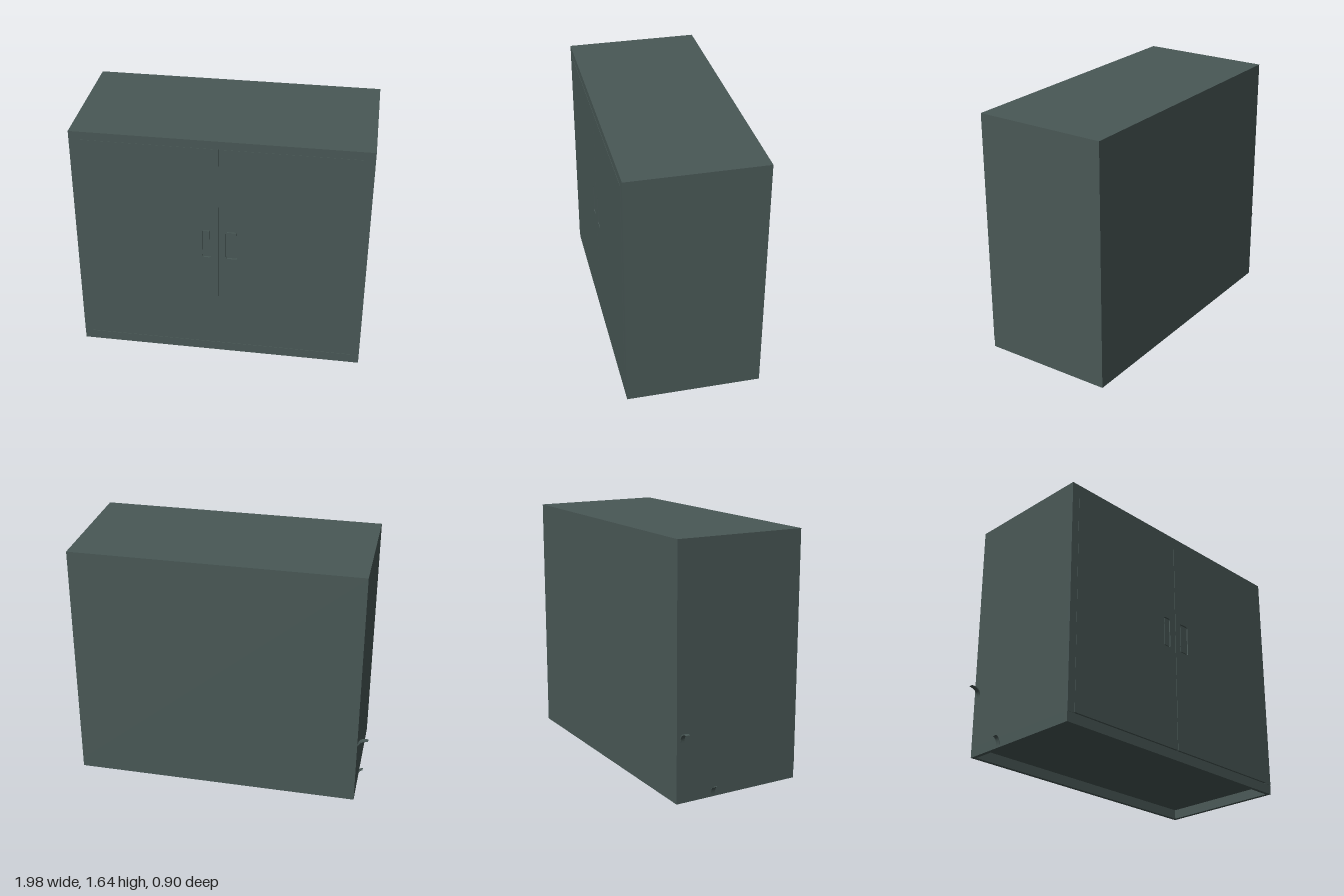
import * as THREE from 'three';

export function createModel() {
  const cabinet = new THREE.Group();
  cabinet.name = 'cabinet';
  const steel = new THREE.MeshStandardMaterial({ color: 0x495856 });
  steel.name = 'dark grey green steel';

  const add = (name, geometry) => {
    const mesh = new THREE.Mesh(geometry, steel);
    mesh.name = name;
    cabinet.add(mesh);
    return mesh;
  };
  // Box given by its lower and upper limits on each axis
  const box = (name, x0, x1, y0, y1, z0, z1) =>
    add(name, new THREE.BoxGeometry(x1 - x0, y1 - y0, z1 - z0))
      .position.set((x0 + x1) / 2, (y0 + y1) / 2, (z0 + z1) / 2);

  const L = -0.93, R = 0.98, BACK = -0.449, FRONT = 0.443;
  const FLOOR = 0.08, BASE = 0.015, TOP = 1.655, MID = 0.02;

  // Body above the raised floor
  box('body', L, R, FLOOR, TOP, BACK, FRONT - 0.014);

  // Skirt around the hollow underside
  const t = 0.025;
  box('frontSkirt', L, R, BASE, FLOOR, FRONT - 0.004 - t, FRONT - 0.004);
  box('backSkirt', L, R, BASE, FLOOR, BACK, BACK + t);
  for (const [name, x] of [['rightSkirt', L], ['leftSkirt', R - t]]) {
    box(name, x, x + t, BASE, FLOOR, BACK + t, FRONT - 0.004 - t);
  }

  // Front frame: side stiles and top rail
  const stile = 0.055, rail = 1.6;
  box('topRail', L, R, rail, TOP, FRONT - 0.014, FRONT - 0.002);
  box('rightStile', L, L + stile, FLOOR, rail, FRONT - 0.014, FRONT - 0.002);
  box('leftStile', R - stile, R, FLOOR, rail, FRONT - 0.014, FRONT - 0.002);

  // Outline of an upright rectangle with rounded corners
  const slot = (x0, x1, y0, y1, r) => {
    const p = new THREE.Path();
    p.moveTo(x0 + r, y0);
    p.lineTo(x1 - r, y0);
    p.quadraticCurveTo(x1, y0, x1, y0 + r);
    p.lineTo(x1, y1 - r);
    p.quadraticCurveTo(x1, y1, x1 - r, y1);
    p.lineTo(x0 + r, y1);
    p.quadraticCurveTo(x0, y1, x0, y1 - r);
    p.lineTo(x0, y0 + r);
    p.quadraticCurveTo(x0, y0, x0 + r, y0);
    return p;
  };

  // Two doors, each with a shallow recessed pull
  const door = (name, x0, x1, h0, h1) => {
    const shape = new THREE.Shape([
      new THREE.Vector2(x0, FLOOR + 0.006), new THREE.Vector2(x1, FLOOR + 0.006),
      new THREE.Vector2(x1, rail), new THREE.Vector2(x0, rail),
    ]);
    shape.holes.push(slot(h0, h1, 0.79, 1.0, 0.015));
    const geometry = new THREE.ExtrudeGeometry(shape, { depth: 0.014, bevelEnabled: false, curveSegments: 4 });
    add(name, geometry).position.z = FRONT - 0.014;
    // Grip plate inside the recess
    box(name + 'Grip', h0 + 0.007, h1 - 0.007, 0.797, 0.993, FRONT - 0.014, FRONT - 0.002);
  };
  door('rightDoor', L + stile, MID - 0.002, -0.09, -0.033);
  door('leftDoor', MID + 0.002, R - stile, 0.065, 0.142);

  // Small bent metal tabs on the right side
  const tab = (name, reach, y, z) => {
    const shape = new THREE.Shape();
    shape.moveTo(L, y - 0.06);
    shape.quadraticCurveTo(L, y, L - reach, y + 0.006);
    shape.quadraticCurveTo(L - 0.01, y + 0.012, L, y - 0.03);
    add(name, new THREE.ExtrudeGeometry(shape, { depth: 0.03, bevelEnabled: false })).position.z = z;
  };
  tab('rearTab', 0.067, 0.47, -0.425);
  tab('middleTab', 0.03, 0.08, -0.2);

  // The cabinet stands very slightly turned
  cabinet.rotation.y = 0.006;
  const model = new THREE.Group();
  model.name = 'model';
  model.add(cabinet);
  return model;
}
